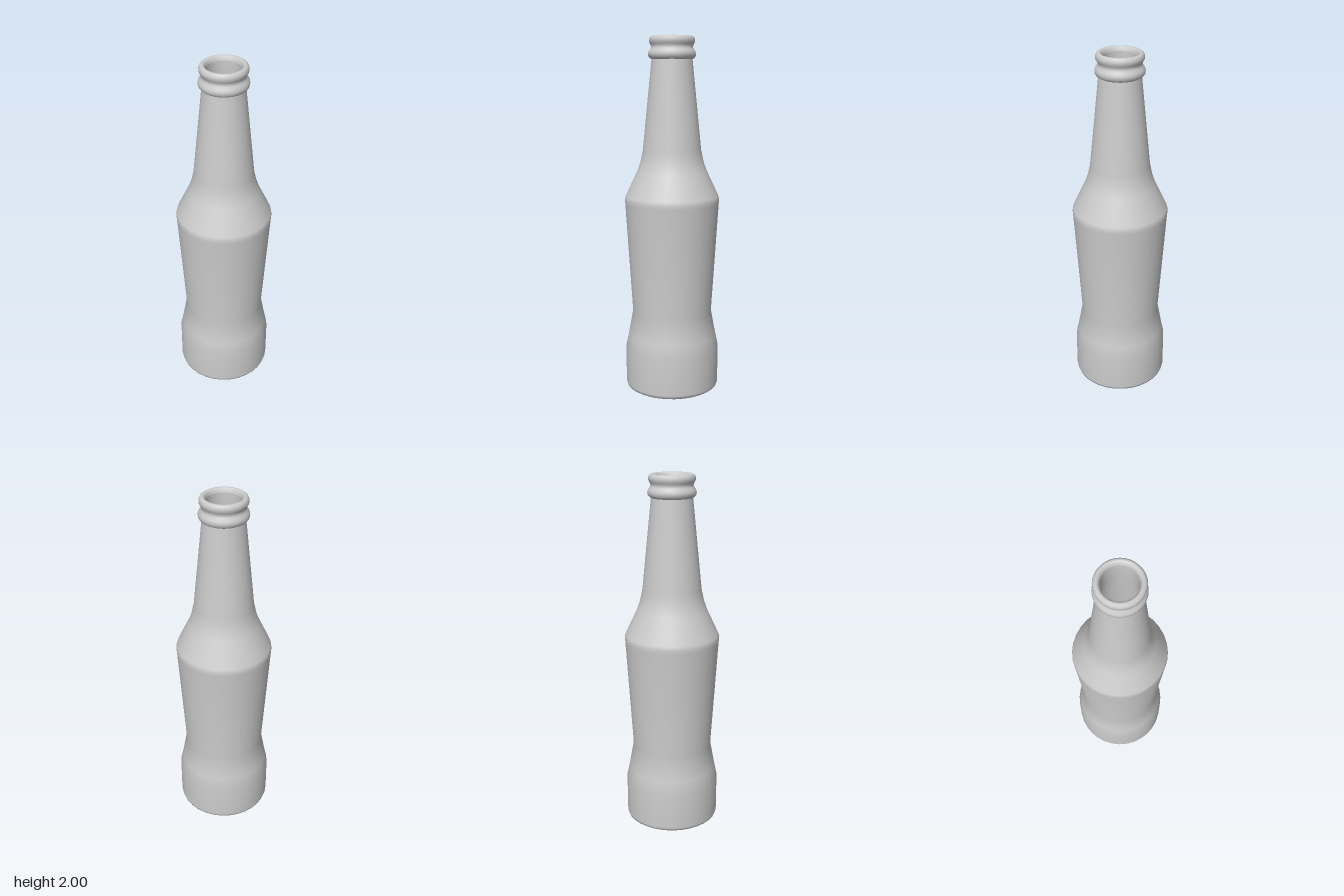
import * as THREE from 'three';

const SIDES = 32;
const material = new THREE.MeshStandardMaterial({ color: 0xcccccc });

// Revolves [radius, height] pairs around the vertical axis
function revolve(name, profile) {
  const points = profile.map(([r, y]) => new THREE.Vector2(r, y));
  const mesh = new THREE.Mesh(new THREE.LatheGeometry(points, SIDES), material);
  mesh.name = name;
  return mesh;
}

export function createModel() {
  const bottle = new THREE.Group();
  bottle.name = 'bottle';

  // Underside, waisted body, sloping shoulder and tapered neck
  bottle.add(revolve('body', [
    [0, 0.005], [0.22, 0.005], [0.235, 0], [0.25, 0.001], [0.262, 0.009], [0.267, 0.025],
    [0.267, 0.24], [0.252, 0.31], [0.226, 0.45],
    [0.265, 1.08], [0.267, 1.1], [0.262, 1.12],
    [0.196, 1.26], [0.178, 1.31], [0.164, 1.375],
    [0.113, 1.875],
  ]));

  // Collar ring, groove and rounded lip
  bottle.add(revolve('mouth', [
    [0.113, 1.875], [0.122, 1.88], [0.13, 1.89], [0.132, 1.904], [0.128, 1.918],
    [0.118, 1.932], [0.115, 1.943], [0.119, 1.954],
    [0.126, 1.966], [0.127, 1.98], [0.122, 1.993], [0.112, 2],
    [0.103, 1.998], [0.095, 1.99], [0.092, 1.975],
  ]));

  // Hollow inside, from the mouth down to the floor
  bottle.add(revolve('innerWall', [
    [0.092, 1.975], [0.092, 1.87], [0.144, 1.37], [0.175, 1.25],
    [0.245, 1.09], [0.205, 0.45], [0.245, 0.24], [0.245, 0.04],
  ]));
  bottle.add(revolve('innerFloor', [[0.245, 0.04], [0, 0.04]]));

  return bottle;
}
